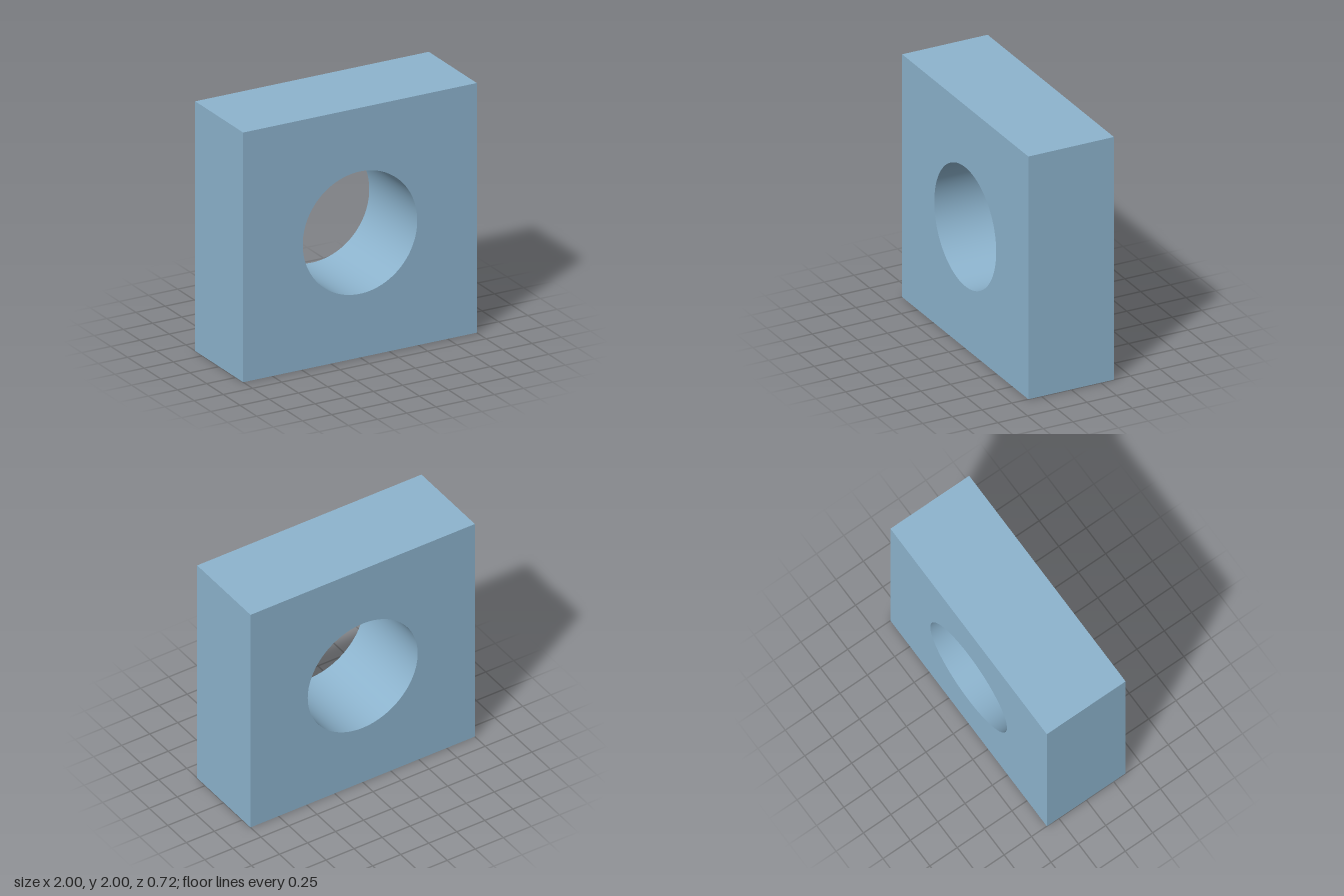
import * as THREE from 'three';
import { toCreasedNormals } from 'three/addons/utils/BufferGeometryUtils.js';

const SIZE = 2;
const DEPTH = 0.72;
const HOLE_RADIUS = 0.49;

export function createModel() {
  const group = new THREE.Group();
  group.name = 'squareBlockWithBore';

  // Square outline with a round hole in its middle
  const h = SIZE / 2;
  const outline = new THREE.Shape([
    new THREE.Vector2(-h, -h),
    new THREE.Vector2(h, -h),
    new THREE.Vector2(h, h),
    new THREE.Vector2(-h, h),
  ]);
  outline.holes.push(new THREE.Path().absarc(0, 0, HOLE_RADIUS, 0, Math.PI * 2, true));

  // Extruded block: sharp outer edges, smooth bore wall
  const extruded = new THREE.ExtrudeGeometry(outline, {
    depth: DEPTH,
    bevelEnabled: false,
    curveSegments: 96,
  });
  extruded.translate(0, h, -DEPTH / 2);

  const block = new THREE.Mesh(
    toCreasedNormals(extruded, Math.PI / 6),
    new THREE.MeshStandardMaterial({ color: 0x8db4ce })
  );
  block.name = 'block';
  group.add(block);

  return group;
}
